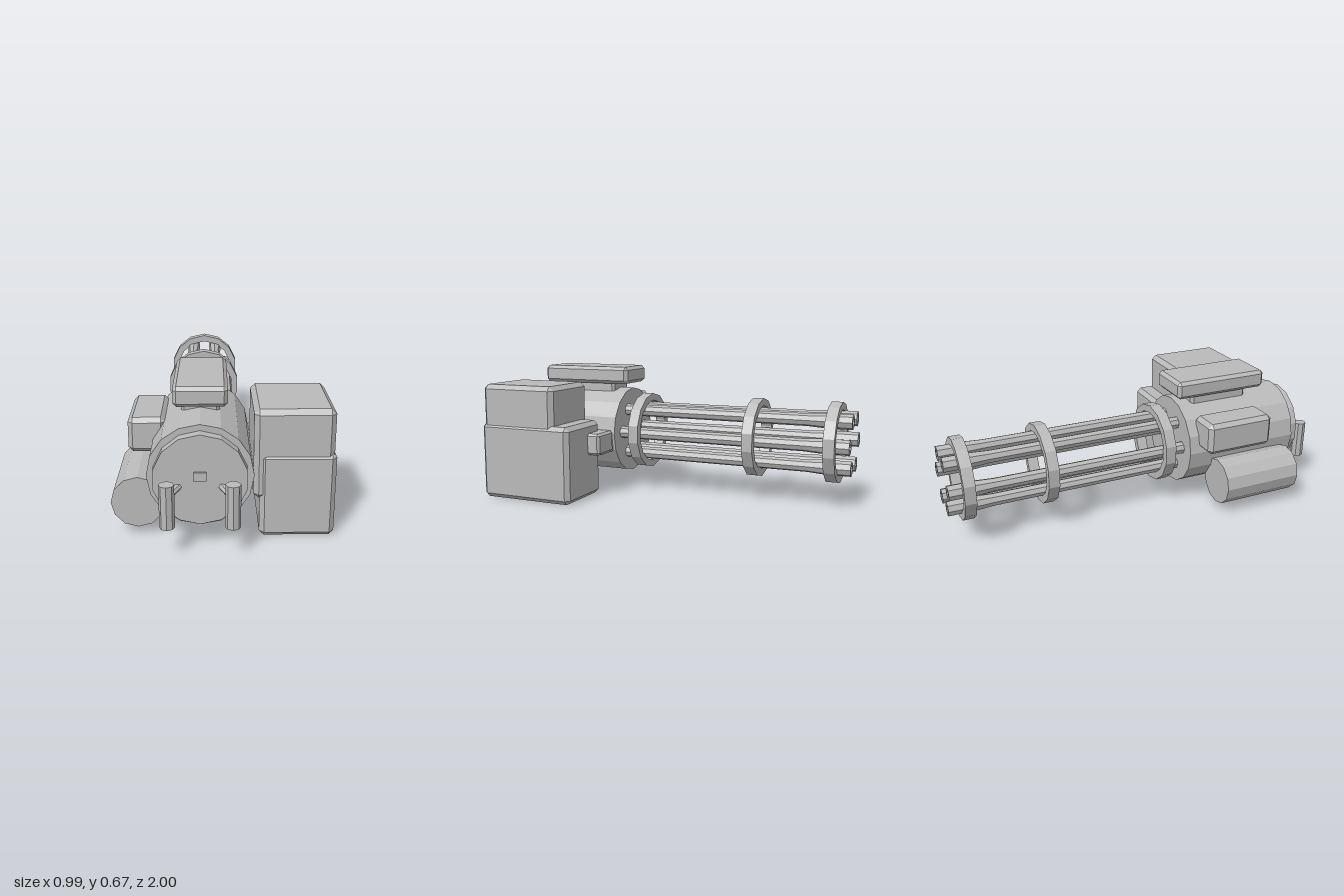
import * as THREE from 'three';
import { ConvexGeometry } from 'three/addons/geometries/ConvexGeometry.js';

export function createModel() {
  const model = new THREE.Group();
  model.name = 'rotaryGun';
  const grey = new THREE.MeshStandardMaterial({ color: 0xbababa, flatShading: true });
  grey.name = 'grey metal';
  const AX = -0.098, AY = 0.316; // barrel axis

  function add(name, geometry, parent = model) {
    const mesh = new THREE.Mesh(geometry, grey);
    mesh.name = name;
    parent.add(mesh);
    return mesh;
  }

  // Chamfered box between two corners
  function bevelBox(name, min, max, b) {
    const c = min.map((v, i) => (v + max[i]) / 2);
    const h = min.map((v, i) => (max[i] - v) / 2);
    const points = [];
    for (const sx of [-1, 1]) for (const sy of [-1, 1]) for (const sz of [-1, 1]) {
      const s = [sx, sy, sz];
      for (let axis = 0; axis < 3; axis++) {
        const p = s.map((v, i) => c[i] + v * (h[i] - (i === axis ? 0 : b)));
        points.push(new THREE.Vector3(...p));
      }
    }
    return add(name, new ConvexGeometry(points));
  }

  // Cylinder along z
  function zCylinder(name, x, y, z0, z1, r, sides) {
    const g = new THREE.CylinderGeometry(r, r, z1 - z0, sides).rotateX(Math.PI / 2);
    add(name, g).position.set(x, y, (z0 + z1) / 2);
  }

  // Closed profile of [radius, distance toward -z] turned about z
  function turned(profile, sides) {
    const pts = profile.map(([r, d]) => new THREE.Vector2(r, d));
    pts.push(pts[0].clone());
    return new THREE.LatheGeometry(pts, sides).rotateX(-Math.PI / 2);
  }

  // Main housing and rear cap
  zCylinder('housing', AX, AY, 0.22, 0.845, 0.232, 16);
  zCylinder('rearCap', AX, AY, 0.83, 0.895, 0.205, 14);
  const button = add('rearButton', new THREE.BoxGeometry(0.053, 0.04, 0.03));
  button.position.set(AX, 0.335, 0.89);

  // Six hollow barrels with flared muzzles
  const barrels = new THREE.Group();
  barrels.name = 'barrels';
  barrels.position.set(AX, AY, 0);
  model.add(barrels);
  const barrelGeometry = turned([
    [0.032, -0.24], [0.032, 0.78], [0.038, 0.87], [0.038, 1],
    [0.02, 1], [0.02, 0.85], [0.001, 0.85], [0.001, -0.24],
  ], 8);
  for (let i = 0; i < 6; i++) {
    const a = i * Math.PI / 3;
    add('barrel', barrelGeometry, barrels)
      .position.set(0.134 * Math.cos(a), 0.134 * Math.sin(a), 0);
  }

  // Clamp rings around the barrels
  const ringGeometry = turned([[0.205, -0.028], [0.205, 0.028], [0.167, 0.028], [0.167, -0.028]], 14);
  for (const z of [0.125, -0.504, -0.908]) add('clampRing', ringGeometry, barrels).position.z = z;

  // Top cover on its neck
  bevelBox('topCover', [-0.22, 0.575, 0.2], [0.023, 0.667, 0.712], 0.017);
  bevelBox('topNeck', [-0.185, 0.48, 0.295], [-0.012, 0.59, 0.62], 0.014);

  // Right side box and motor drum
  bevelBox('sideBox', [-0.426, 0.337, 0.274], [-0.257, 0.5, 0.64], 0.021);
  zCylinder('motorDrum', -0.376, 0.159, 0.355, 0.78, 0.12, 12);
  const bracket = add('drumBracket', new THREE.BoxGeometry(0.12, 0.06, 0.3));
  bracket.position.set(-0.29, 0.235, 0.57);

  // Left side ammunition boxes and feed chute
  bevelBox('upperAmmoBox', [0.133, 0.178, 0.385], [0.485, 0.593, 0.802], 0.023);
  bevelBox('lowerAmmoBox', [0.16, 0, 0.293], [0.494, 0.395, 0.81], 0.022);
  bevelBox('feedChute', [0.13, 0.225, 0.228], [0.29, 0.338, 0.34], 0.012);
  bevelBox('feedNeck', [0.04, 0.22, 0.235], [0.24, 0.33, 0.38], 0.01);

  // Mirrored rear grips on angled stalks
  for (const s of [-1, 1]) {
    const grip = add('grip', new THREE.CylinderGeometry(0.033, 0.033, 0.195, 8));
    grip.position.set(AX + s * 0.138, 0.2335, 0.967);
    const from = new THREE.Vector3(AX + s * 0.085, 0.288, 0.875);
    const to = new THREE.Vector3(AX + s * 0.135, 0.272, 0.965);
    const stalk = add('gripStalk', new THREE.CylinderGeometry(0.016, 0.016, from.distanceTo(to), 6));
    stalk.position.copy(from).lerp(to, 0.5);
    stalk.quaternion.setFromUnitVectors(new THREE.Vector3(0, 1, 0), to.clone().sub(from).normalize());
  }

  return model;
}
